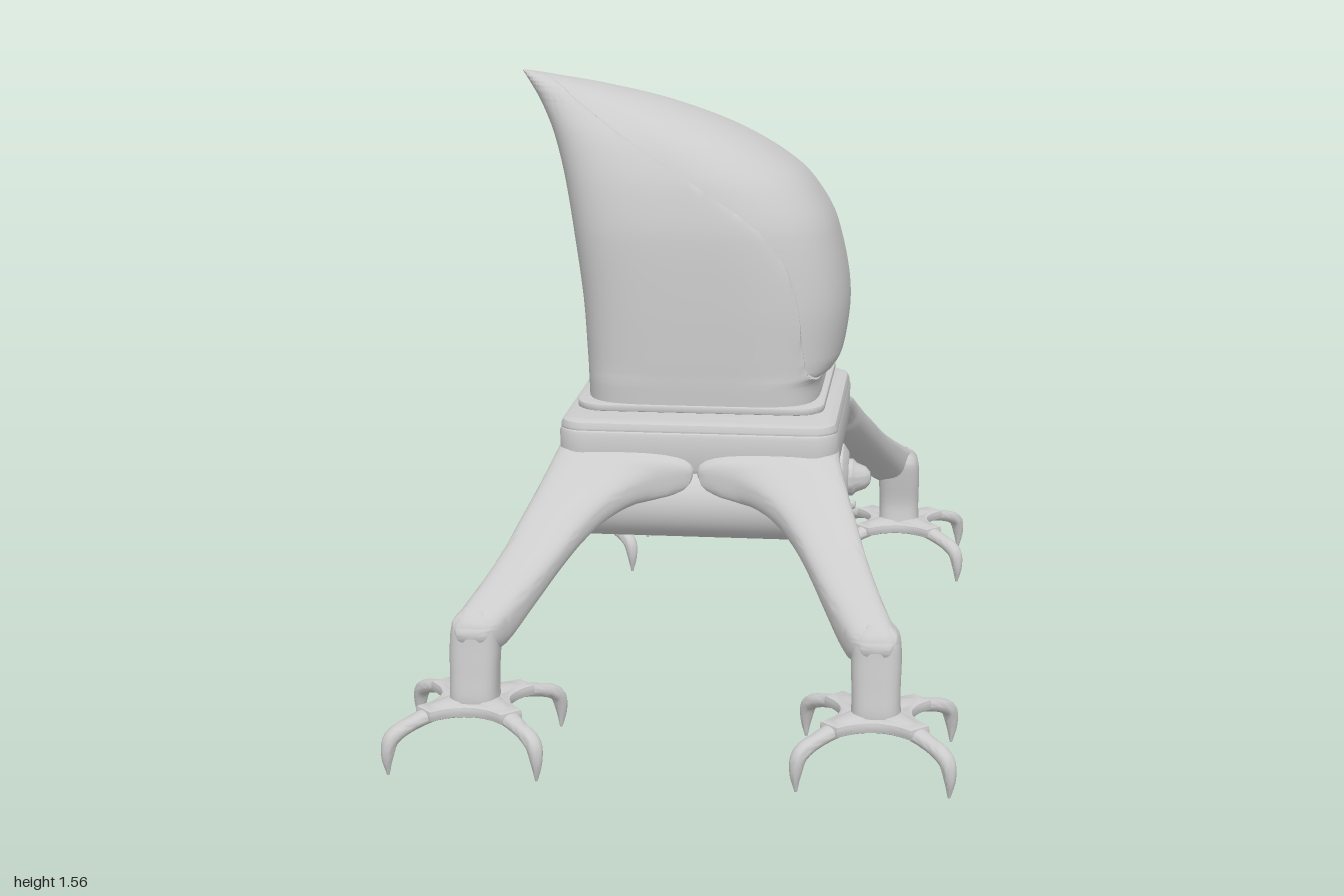
import * as THREE from 'three';
import { toCreasedNormals } from 'three/addons/utils/BufferGeometryUtils.js';

const mat = new THREE.MeshStandardMaterial({ color: 0xcccccc });

function add(parent, name, geo) {
  const m = new THREE.Mesh(geo, mat);
  m.name = name;
  parent.add(m);
  return m;
}

// Smooth interpolation of table rows [t, a, b, ...]
function sample(rows, t) {
  const last = rows.length - 1;
  let i = 0;
  while (i < last - 1 && t > rows[i + 1][0]) i++;
  const p = rows[i], q = rows[i + 1], h = q[0] - p[0], s = (t - p[0]) / h;
  const slope = (k, c) => {
    const a = rows[Math.max(k - 1, 0)], b = rows[Math.min(k + 1, last)];
    return (b[c] - a[c]) / (b[0] - a[0]);
  };
  return p.slice(1).map((v, j) => {
    const c = j + 1;
    return (2 * s ** 3 - 3 * s * s + 1) * v + (s ** 3 - 2 * s * s + s) * h * slope(i, c)
      + (3 * s * s - 2 * s ** 3) * q[c] + (s ** 3 - s * s) * h * slope(i + 1, c);
  });
}

// Values of t from the table, each span split in equal steps
function stations(rows, split) {
  const out = [rows[0][0]];
  for (let i = 1; i < rows.length; i++)
    for (let k = 1; k <= split; k++) out.push(rows[i - 1][0] + (rows[i][0] - rows[i - 1][0]) * k / split);
  return out;
}

// Skin closed rings of [x, y, z], cap both ends, turn faces outward
function loft(rings, crease = 0.7) {
  const n = rings[0].length, pos = rings.flat(), idx = [];
  for (let r = 0; r < rings.length - 1; r++)
    for (let i = 0; i < n; i++) {
      const a = r * n + i, b = r * n + (i + 1) % n;
      idx.push(a, b, a + n, b, b + n, a + n);
    }
  for (const r of [0, rings.length - 1]) {
    const c = pos.length;
    pos.push([0, 1, 2].map(k => rings[r].reduce((s, p) => s + p[k], 0) / n));
    for (let i = 0; i < n; i++) {
      const a = r * n + i, b = r * n + (i + 1) % n;
      r ? idx.push(a, b, c) : idx.push(b, a, c);
    }
  }
  const v = pos.map(p => new THREE.Vector3(...p));
  let vol = 0;
  for (let i = 0; i < idx.length; i += 3)
    vol += v[idx[i]].dot(new THREE.Vector3().crossVectors(v[idx[i + 1]], v[idx[i + 2]]));
  if (vol < 0) idx.reverse();
  const g = new THREE.BufferGeometry().setFromPoints(v);
  g.setIndex(idx);
  return toCreasedNormals(g, crease);
}

// Unit superellipse by angle
function squircle(n, count) {
  return Array.from({ length: count }, (_, i) => {
    const a = i / count * Math.PI * 2, e = typeof n === 'function' ? n(Math.cos(a)) : n;
    const c = Math.cos(a), s = Math.sin(a);
    const r = (Math.abs(c) ** e + Math.abs(s) ** e) ** (-1 / e);
    return [c * r, s * r];
  });
}

// Horizontal rounded plate with bevelled edges
function plate(hx, hz, r, y0, y1, bevel) {
  const x = hx - bevel, z = hz - bevel, s = new THREE.Shape();
  s.moveTo(-x + r, -z).lineTo(x - r, -z).absarc(x - r, -z + r, r, -Math.PI / 2, 0);
  s.absarc(x - r, z - r, r, 0, Math.PI / 2).absarc(-x + r, z - r, r, Math.PI / 2, Math.PI);
  s.absarc(-x + r, -z + r, r, Math.PI, Math.PI * 1.5);
  const g = new THREE.ExtrudeGeometry(s, {
    depth: y1 - y0 - 2 * bevel, bevelSize: bevel, bevelThickness: bevel, bevelSegments: 2, curveSegments: 10 });
  return toCreasedNormals(g.rotateX(-Math.PI / 2).translate(0, y0 + bevel, 0), 0.5);
}

// Cabin rows: y, rear x, front x, half width, front squareness, rear squareness
const CABIN = [
  [0.745, -0.295, 0.295, 0.297, 5, 5], [0.8, -0.297, 0.3, 0.299, 4.8, 5], [0.82, -0.298, 0.333, 0.299, 3.8, 5],
  [0.86, -0.301, 0.354, 0.3, 3.3, 4.8], [1, -0.312, 0.367, 0.301, 3, 4.5], [1.17, -0.338, 0.335, 0.295, 2.8, 4],
  [1.25, -0.353, 0.297, 0.281, 2.7, 3.7], [1.33, -0.372, 0.23, 0.256, 2.5, 3.3], [1.42, -0.402, 0.085, 0.205, 2.3, 2.8],
  [1.49, -0.437, -0.1, 0.135, 2.1, 2.4], [1.53, -0.463, -0.27, 0.08, 2, 2.1], [1.55, -0.477, -0.385, 0.04, 2, 2],
  [1.565, -0.487, -0.483, 0.002, 2, 2]];
// Canopy seam: y, x
const SEAM = [[0.745, 0.33], [0.8, 0.305], [0.83, 0.275], [0.9, 0.262], [1, 0.25], [1.1, 0.22], [1.2, 0.145],
  [1.3, 0], [1.42, -0.2], [1.5, -0.33], [1.55, -0.41], [1.565, -0.48]];

function cabin(isShell) {
  const grow = isShell ? 0.006 : 0;
  return loft(stations(CABIN, 6).map(y => {
    const [x0, x1, w, nf, nb] = sample(CABIN, y), seam = sample(SEAM, y)[0];
    const c = (x0 + x1) / 2, h = (x1 - x0) / 2 + grow;
    return squircle(k => (k > 0 ? nf : nb), 128).map(([u, v]) => {
      const x = c + u * h;
      return [isShell ? Math.min(x, seam) : x, y, v * (w + grow)];
    });
  }), 0.8);
}

// Leg arm rows: z, inner x, outer x, bottom y, top y
const ARM = [[0.1, 0.06, 0.345, 0.588, 0.67], [0.25, 0.06, 0.357, 0.575, 0.665], [0.34, 0.03, 0.366, 0.545, 0.65],
  [0.378, 0.01, 0.376, 0.52, 0.628], [0.4, 0.11, 0.384, 0.5, 0.61], [0.45, 0.19, 0.4, 0.47, 0.572],
  [0.52, 0.25, 0.422, 0.428, 0.527], [0.6, 0.297, 0.447, 0.38, 0.475], [0.7, 0.345, 0.482, 0.318, 0.422],
  [0.8, 0.395, 0.522, 0.255, 0.372], [0.84, 0.418, 0.535, 0.262, 0.352], [0.87, 0.45, 0.515, 0.29, 0.32]];
// Ankle rows: y, x from, x to, z from, z to
const ANKLE = [[0.115, 0.42, 0.545, 0.757, 0.883], [0.15, 0.424, 0.541, 0.765, 0.888], [0.2, 0.424, 0.54, 0.77, 0.882],
  [0.28, 0.422, 0.541, 0.757, 0.872], [0.33, 0.428, 0.534, 0.752, 0.864], [0.358, 0.455, 0.51, 0.77, 0.84]];
// Toe rows: distance along, radius from ankle, y, half width, half thickness
const TOE = [[0, 0, 0.13, 0.055, 0.02], [0.3, 0.09, 0.132, 0.034, 0.018], [0.55, 0.18, 0.115, 0.021, 0.016],
  [0.72, 0.238, 0.092, 0.02, 0.018], [0.85, 0.252, 0.05, 0.014, 0.014], [1, 0.251, 0.002, 0.003, 0.003]];

function leg(sx, sz) {
  const g = new THREE.Group();
  const arm = stations(ARM, 4).map(z => {
    const [xi, xo, b, t] = sample(ARM, z), mid = b + (t - b) * 0.62;
    return squircle(2.7, 32).map(([u, v]) =>
      [sx * ((xi + xo) / 2 + u * (xo - xi) / 2), mid + v * (v > 0 ? t - mid : mid - b), sz * z]);
  });
  add(g, 'legArm', loft(arm, 1));
  const ankle = stations(ANKLE, 4).map(y => {
    const [x0, x1, z0, z1] = sample(ANKLE, y);
    return squircle(3.2, 32).map(([u, v]) =>
      [sx * ((x0 + x1) / 2 + u * (x1 - x0) / 2), y, sz * ((z0 + z1) / 2 + v * (z1 - z0) / 2)]);
  });
  add(g, 'ankle', loft(ankle, 1));

  // Foot: webbed star plate and four clawed toes
  const star = new THREE.Shape();
  star.moveTo(0.12, 0.085);
  for (let i = 0; i < 4; i++) {
    const q = (x, y) => [[x, y], [-y, x], [-x, -y], [y, -x]][i];
    star.lineTo(...q(0.085, 0.12));
    star.quadraticCurveTo(...q(0, 0.04), ...q(-0.085, 0.12));
  }
  const web = new THREE.ExtrudeGeometry(star, {
    depth: 0.012, bevelSize: 0.006, bevelThickness: 0.008, bevelSegments: 2, curveSegments: 12 });
  add(g, 'footWeb', toCreasedNormals(web.rotateX(-Math.PI / 2), 0.6)).position.set(sx * 0.483, 0.124, sz * 0.82);
  for (let i = 0; i < 4; i++) {
    const a = Math.PI / 4 + i * Math.PI / 2, c = Math.cos(a), s = Math.sin(a);
    const rings = stations(TOE, 4).map(t => {
      const [r, y, w, h] = sample(TOE, t), [r0, y0] = sample(TOE, t - 0.01), [r1, y1] = sample(TOE, t + 0.01);
      const len = Math.hypot(r1 - r0, y1 - y0), nr = -(y1 - y0) / len, ny = (r1 - r0) / len;
      return squircle(2.4, 14).map(([u, v]) => {
        const d = r + nr * v * h;
        return [sx * 0.483 + c * d - s * u * w, y + ny * v * h, sz * 0.82 + s * d + c * u * w];
      });
    });
    add(g, 'clawToe', loft(rings, 0.9));
  }
  return g;
}

// Solid of revolution along x from [x, radius] points
function turned(points) {
  const g = new THREE.LatheGeometry(points.map(([x, r]) => new THREE.Vector2(r, x)), 40);
  return toCreasedNormals(g.rotateZ(-Math.PI / 2), 0.5);
}

export function createModel() {
  const model = new THREE.Group();
  model.name = 'walker';

  // Cabin
  add(model, 'cabinShell', cabin(true));
  add(model, 'canopy', cabin(false));
  add(model, 'cabinFlange', plate(0.318, 0.311, 0.07, 0.73, 0.748, 0.004));
  add(model, 'turretRing', new THREE.CylinderGeometry(0.185, 0.185, 0.04, 48)).position.y = 0.72;

  // Hub
  add(model, 'hubTop', plate(0.355, 0.355, 0.05, 0.67, 0.713, 0.019));
  add(model, 'hubBody', plate(0.357, 0.364, 0.06, 0.584, 0.69, 0.012));

  // Legs
  for (const sx of [1, -1]) for (const sz of [1, -1]) {
    const l = leg(sx, sz);
    l.name = (sz > 0 ? 'front' : 'back') + (sx > 0 ? 'Left' : 'Right') + 'Leg';
    model.add(l);
  }

  // Twin pods slung under the hub
  const pods = new THREE.Group();
  pods.name = 'pods';
  model.add(pods);
  for (const z of [0.135, -0.135])
    add(pods, 'pod', turned([[-0.335, 0], [-0.335, 0.092], [-0.328, 0.097], [0.33, 0.097], [0.35, 0.09],
      [0.363, 0.07], [0.365, 0.058], [0.35, 0.054], [0.35, 0]])).position.set(0, 0.452, z);
  add(pods, 'podBridge', new THREE.BoxGeometry(0.62, 0.1, 0.13)).position.set(0, 0.505, 0);
  add(pods, 'podMount', plate(0.3, 0.155, 0.03, 0.535, 0.59, 0.006));
  add(pods, 'noseCone', turned([[0.34, 0.05], [0.375, 0.05], [0.385, 0.04], [0.41, 0.03], [0.422, 0.016], [0.425, 0]]))
    .position.set(0, 0.452, -0.135);
  add(pods, 'muzzle', turned([[0.34, 0.036], [0.368, 0.036], [0.368, 0.024], [0.358, 0.022], [0.358, 0.012],
    [0.39, 0.012], [0.396, 0.008], [0.396, 0]])).position.set(0, 0.452, 0.135);
  return model;
}
